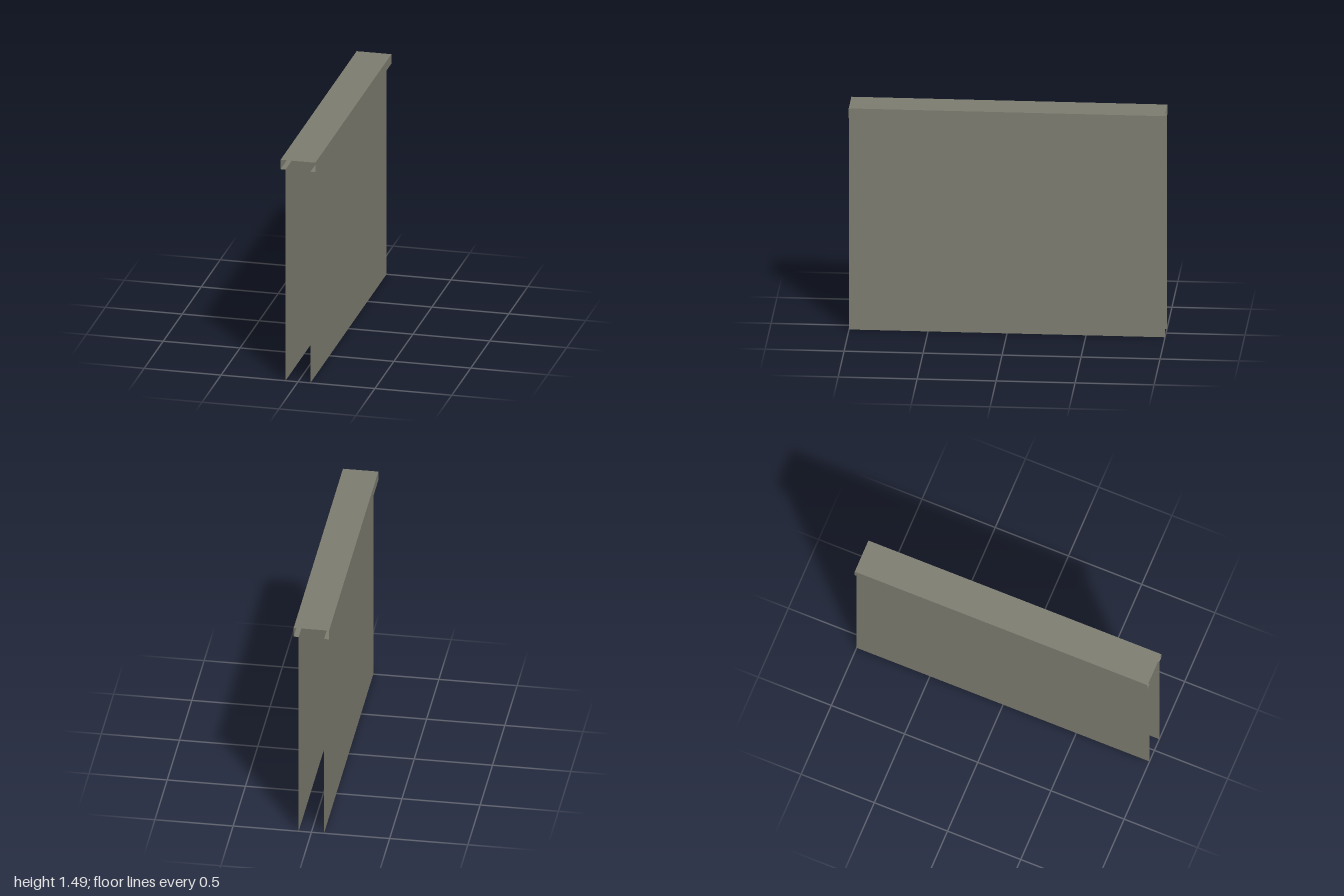
import * as THREE from 'three';

const HALF_LENGTH = 1, CAP_X = 0.113, WALL_X = 0.081, TOP = 1.488, LIP = 1.424;

// Open sheet: sweeps an [x, y] profile along z, one flat strip per segment
function sheet(profile) {
  const pos = [];
  for (let i = 0; i < profile.length - 1; i++) {
    const [x0, y0] = profile[i], [x1, y1] = profile[i + 1];
    const a = [x0, y0, HALF_LENGTH], b = [x0, y0, -HALF_LENGTH];
    const c = [x1, y1, -HALF_LENGTH], d = [x1, y1, HALF_LENGTH];
    pos.push(...a, ...b, ...c, ...a, ...c, ...d);
  }
  const geometry = new THREE.BufferGeometry();
  geometry.setAttribute('position', new THREE.Float32BufferAttribute(pos, 3));
  geometry.computeVertexNormals();
  return geometry;
}

export function createModel() {
  const group = new THREE.Group();
  group.name = 'cappedWall';
  const material = new THREE.MeshStandardMaterial({ color: 0x7c7c70, side: THREE.DoubleSide });
  material.name = 'grey stone';

  const add = (name, profile) => {
    const mesh = new THREE.Mesh(sheet(profile), material);
    mesh.name = name;
    group.add(mesh);
  };

  // Overhanging cap with narrow lips turned in to meet the walls, open at both ends
  add('cap', [
    [WALL_X, LIP], [CAP_X, LIP], [CAP_X, TOP],
    [-CAP_X, TOP], [-CAP_X, LIP], [-WALL_X, LIP],
  ]);

  // Two thin wall faces, open below and at the ends
  add('leftWall', [[WALL_X, 0], [WALL_X, LIP]]);
  add('rightWall', [[-WALL_X, LIP], [-WALL_X, 0]]);

  return group;
}
